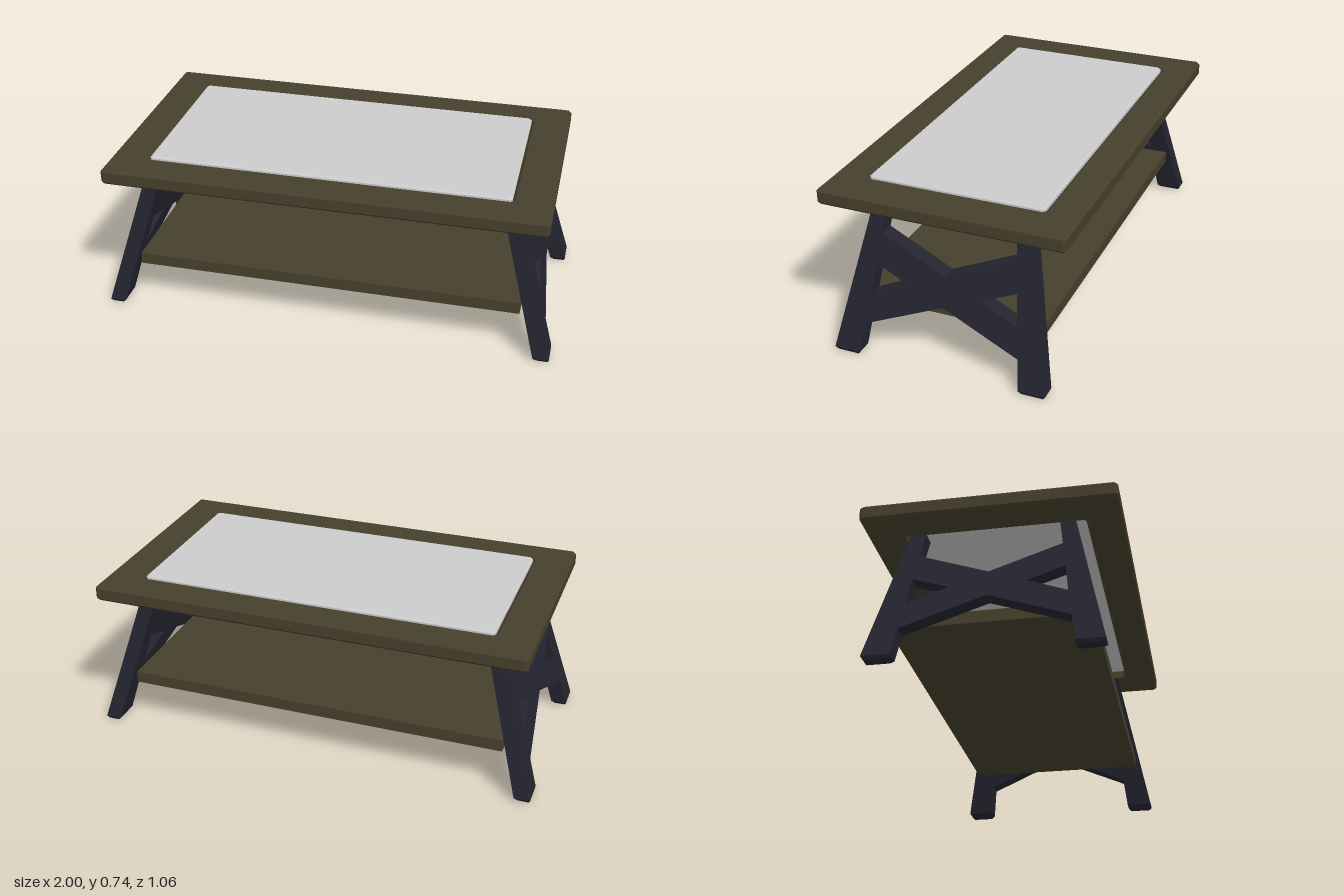
import * as THREE from 'three';

const wood = new THREE.MeshStandardMaterial({ color: 0x463f2c, flatShading: true });
const paint = new THREE.MeshStandardMaterial({ color: 0x242430, flatShading: true });
const grey = new THREE.MeshStandardMaterial({ color: 0xcccccc, flatShading: true });

function part(name, geometry, material, parent) {
  const mesh = new THREE.Mesh(geometry, material);
  mesh.name = name;
  parent.add(mesh);
  return mesh;
}

const polygon = (pts) => pts.map(([x, y]) => new THREE.Vector2(x, y));

// Rectangle of half sizes a, b with corners clipped by c
const clippedRect = (a, b, c) => polygon([
  [-a + c, -b], [a - c, -b], [a, -b + c], [a, b - c],
  [a - c, b], [-a + c, b], [-a, b - c], [-a, -b + c],
]);

// Horizontal slab with chamfered edges between heights y0 and y1
function slab(outline, hole, y0, y1, bevel) {
  const shape = new THREE.Shape(outline);
  if (hole) shape.holes.push(new THREE.Path(hole));
  const g = new THREE.ExtrudeGeometry(shape, {
    depth: y1 - y0 - 2 * bevel, bevelEnabled: true, bevelSegments: 1,
    bevelSize: bevel, bevelThickness: bevel, bevelOffset: -bevel,
  });
  return g.rotateX(-Math.PI / 2).translate(0, y0 + bevel, 0);
}

// Lean the end frames: the higher a vertex, the further it moves inward
function lean(g) {
  const p = g.attributes.position;
  for (let i = 0; i < p.count; i++) {
    p.setX(i, p.getX(i) + 0.965 - 0.286 * (p.getY(i) - 0.015));
  }
  g.computeVertexNormals();
  return g;
}

const THICK = 0.07, FOOT = 0.015;

function endFrame() {
  const group = new THREE.Group();
  // Splayed legs and crossed braces as one silhouette in the z-y plane
  const half = [[0.355, FOOT], [0.472, FOOT], [0.345, 0.645], [0.28, 0.645], [0.295, 0.52]];
  const mirror = half.map(([z, y]) => [-z, y]).reverse();
  const shape = new THREE.Shape(polygon([
    [0, 0.275], [0.34, 0.14], ...half, [0, 0.4], ...mirror, [-0.34, 0.14],
  ]));
  for (const s of [1, -1]) {
    shape.holes.push(new THREE.Path(polygon([
      [s * 0.31, 0.395], [s * 0.157, 0.335], [s * 0.323, 0.265],
    ])));
  }
  const g = new THREE.ExtrudeGeometry(shape, { depth: THICK, bevelEnabled: false });
  g.rotateY(-Math.PI / 2).translate(THICK / 2, 0, 0);
  part('legsAndCrossBrace', lean(g), paint, group);

  // Chamfered feet
  for (const s of [1, -1]) {
    const foot = new THREE.BoxGeometry(THICK, FOOT, 0.117);
    const p = foot.attributes.position;
    for (let i = 0; i < p.count; i++) {
      if (p.getY(i) < 0) {
        p.setX(i, p.getX(i) - Math.sign(p.getX(i)) * 0.012);
        p.setZ(i, p.getZ(i) - Math.sign(p.getZ(i)) * 0.012);
      }
    }
    foot.translate(0, FOOT / 2, s * 0.4135);
    part('foot', lean(foot), paint, group);
  }
  return group;
}

export function createModel() {
  const table = new THREE.Group();
  table.name = 'coffeeTable';

  // Table top: chamfered wooden surround with an inset panel
  part('topSurround', slab(
    clippedRect(0.955, 0.532, 0.012), clippedRect(0.785, 0.382, 0.012), 0.655, 0.726, 0.012,
  ), wood, table);
  part('topPanel', slab(clippedRect(0.785, 0.382, 0.012), null, 0.7, 0.735, 0.008), grey, table);

  // Lower shelf
  const shelf = new THREE.BoxGeometry(1.71, 0.053, 0.82);
  part('shelf', shelf.translate(0, 0.221, 0), wood, table);

  // Matching end frames
  for (const [name, turn] of [['leftEndFrame', 0], ['rightEndFrame', Math.PI]]) {
    const frame = endFrame();
    frame.name = name;
    frame.rotation.y = turn;
    table.add(frame);
  }
  return table;
}
